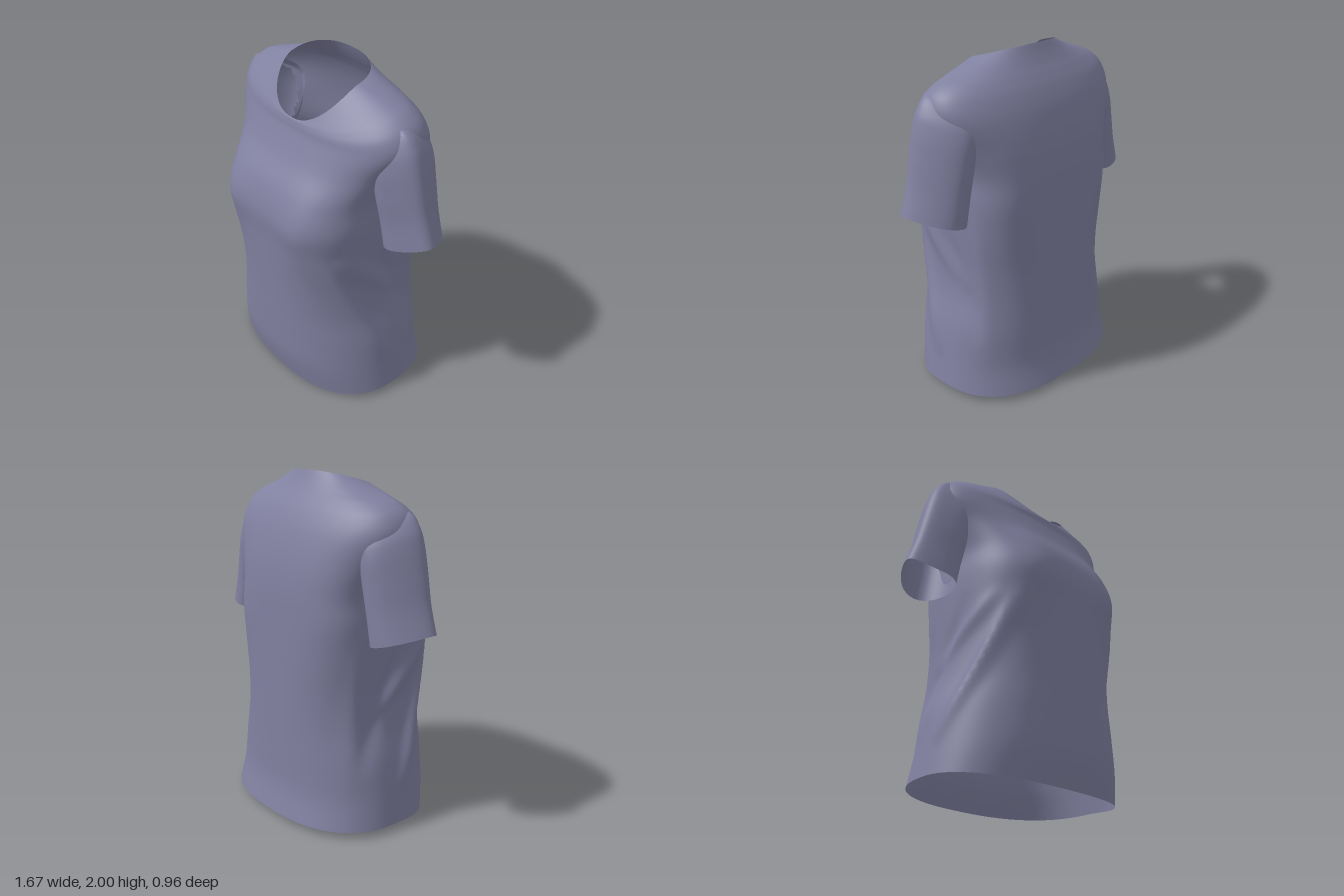
import * as THREE from 'three';

const SEG = 112, SUB = 7;

// Smoothly interpolate rows of ring values
function smoothRows(rows) {
  const out = [];
  const at = (i) => rows[Math.max(0, Math.min(rows.length - 1, i))];
  for (let i = 0; i < rows.length - 1; i++) {
    for (let k = 0; k < SUB; k++) {
      const t = k / SUB;
      out.push(rows[i].map((_, c) => {
        const [a, b, d, e] = [at(i - 1)[c], at(i)[c], at(i + 1)[c], at(i + 2)[c]];
        return b + 0.5 * t * (d - a + t * (2 * a - 5 * b + 4 * d - e + t * (3 * (b - d) + e - a)));
      }));
    }
  }
  out.push(rows[rows.length - 1]);
  return out;
}

// Closed rings joined into an open tube; faces with all corners hidden are left out
function loft(rings, point, hidden) {
  const pos = [], index = [], inside = [];
  rings.forEach((row) => {
    for (let j = 0; j < SEG; j++) {
      const p = point(row, (j / SEG) * Math.PI * 2);
      pos.push(...p);
      inside.push(hidden(...p));
    }
  });
  const face = (...ids) => ids.every((i) => inside[i]) || index.push(...ids);
  for (let i = 0; i < rings.length - 1; i++) {
    for (let j = 0; j < SEG; j++) {
      const a = i * SEG + j, b = i * SEG + (j + 1) % SEG;
      face(a, a + SEG, b);
      face(b, a + SEG, b + SEG);
    }
  }
  const g = new THREE.BufferGeometry();
  g.setAttribute('position', new THREE.Float32BufferAttribute(pos, 3));
  g.setIndex(index);
  g.computeVertexNormals();
  return g;
}

// Cloth folds on the flanks: start z,y, end z,y, height, width
const folds = [
  [0.44, 1.1, 0.0, 0.2, 0.034, 0.045],
  [0.32, 1.05, -0.15, 0.65, 0.02, 0.045],
  [0.1, 1.1, -0.25, 0.35, -0.018, 0.05],
  [-0.2, 1.2, -0.3, 0.2, 0.012, 0.045],
];
function foldHeight(z, y) {
  let h = 0;
  for (const [z0, y0, z1, y1, amp, width] of folds) {
    const dz = z1 - z0, dy = y1 - y0, len2 = dz * dz + dy * dy;
    const t = Math.max(0, Math.min(1, ((z - z0) * dz + (y - y0) * dy) / len2));
    const d = Math.hypot(z - z0 - t * dz, y - y0 - t * dy) / width;
    h += amp * 4 * t * (1 - t) * Math.exp(-d * d);
  }
  return h;
}

// Torso rings: half width, side z, side y, front z, front y, back z, back y, squareness
const torsoRings = smoothRows([
  [0.625, -0.02, 0.045, 0.40, 0.0, -0.485, 0.035, 2.45],
  [0.602, -0.02, 0.20, 0.437, 0.18, -0.447, 0.2, 2.4],
  [0.57, -0.02, 0.40, 0.447, 0.38, -0.437, 0.4, 2.4],
  [0.52, -0.02, 0.60, 0.452, 0.59, -0.432, 0.6, 2.5],
  [0.50, -0.02, 0.80, 0.458, 0.8, -0.427, 0.8, 2.7],
  [0.503, -0.02, 1.02, 0.466, 1.02, -0.422, 1.02, 3.1],
  [0.507, -0.02, 1.20, 0.472, 1.2, -0.418, 1.2, 3.4],
  [0.507, -0.03, 1.36, 0.427, 1.36, -0.412, 1.36, 3.2],
  [0.565, -0.04, 1.52, 0.337, 1.51, -0.392, 1.52, 2.8],
  [0.645, -0.04, 1.68, 0.276, 1.64, -0.35, 1.68, 2.45],
  [0.63, -0.035, 1.785, 0.262, 1.69, -0.305, 1.785, 2.3],
  [0.56, -0.03, 1.852, 0.258, 1.705, -0.265, 1.85, 2.2],
  [0.46, -0.02, 1.89, 0.256, 1.712, -0.23, 1.9, 2.2],
  [0.36, -0.005, 1.92, 0.253, 1.717, -0.2, 1.95, 2.2],
  [0.275, 0.01, 1.945, 0.25, 1.72, -0.175, 2.0, 2.25],
]);
const ringHeight = ([, , ys, , yf, , yb], k, front) =>
  front ? ys + (yf - ys) * k ** 1.5 : ys + (yb - ys) * k;

function torsoPoint(row, a) {
  const [w, zs, , zf, , zb, , n] = row;
  const c = Math.cos(a), s = Math.sin(a);
  const r = (Math.abs(c) ** n + Math.abs(s) ** n) ** (-1 / n);
  const k = Math.min(1, Math.abs(r * s));
  const z = zs + k * ((s > 0 ? zf : zb) - zs);
  const y = ringHeight(row, k, s > 0);
  const x = w * r * c;
  // Bust swells on both sides of a shallow hollow
  const bust = s > 0 ? 0.022 * Math.exp(-(((Math.abs(x) - 0.3) / 0.13) ** 2) - ((y - 1.2) / 0.2) ** 2) : 0;
  return [x + Math.sign(c) * Math.min(1, Math.abs(c) * 1.3) * foldHeight(z, y), y, z + bust];
}

// True where a point lies inside the torso, judged by the ring nearest in height
function inTorso(x, y, z) {
  let best = 1, reach = 2;
  for (const row of torsoRings) {
    const [w, zs, , zf, , zb, , n] = row;
    const u = Math.abs(x) / w, v = Math.abs((z - zs) / ((z > zs ? zf : zb) - zs));
    const size = (u ** n + v ** n) ** (1 / n);
    const gap = Math.abs(y - ringHeight(row, Math.min(1, v / size), z > zs));
    if (gap < best) [best, reach] = [gap, size];
  }
  return reach < 0.95;
}

// Sleeve rings from cuff to shoulder: outer x,y, inner x,y, middle z, half depth
const sleeveRings = smoothRows([
  [0.837, 1.20, 0.52, 1.115, -0.068, 0.165],
  [0.787, 1.35, 0.495, 1.265, -0.065, 0.168],
  [0.752, 1.50, 0.47, 1.40, -0.06, 0.177],
  [0.718, 1.64, 0.44, 1.55, -0.057, 0.182],
  [0.685, 1.73, 0.40, 1.65, -0.053, 0.17],
  [0.622, 1.803, 0.36, 1.70, -0.045, 0.13],
  [0.50, 1.835, 0.33, 1.74, -0.03, 0.06],
]);
const outerShift = (c) => 0.05 * Math.max(0, c) ** 2;

// The section narrows to an outer fold that sits a little towards the front
const sleevePoint = (side) => ([ox, oy, ix, iy, zc, zh], a) => {
  const c = Math.cos(a), s = Math.sin(a);
  const z = zc + zh * s * side * (1 - 0.35 * c) + outerShift(c);
  const y = (oy + iy) / 2 + c * (oy - iy) / 2 - 0.015 * s * s;
  return [side * ((ox + ix) / 2 + c * (ox - ix) / 2), y, z];
};

// True where a point lies inside a sleeve, judged by the ring plane nearest to it
function inSleeve(x, y, z) {
  let best = 0.03, reach = 2;
  for (const [ox, oy, ix, iy, zc, zh] of sleeveRings) {
    const c = (Math.abs(x) - (ox + ix) / 2) / ((ox - ix) / 2);
    const gap = Math.abs(y - (oy + iy) / 2 - c * (oy - iy) / 2);
    const s = (z - zc - outerShift(c)) / (zh * (1 - 0.35 * c));
    if (gap < best) [best, reach] = [gap, Math.hypot(c, s)];
  }
  return reach < 0.92;
}

export function createModel() {
  const group = new THREE.Group();
  group.name = 'tShirt';
  const cloth = new THREE.MeshStandardMaterial({ color: 0x8080a0, side: THREE.DoubleSide });
  cloth.name = 'greyLavenderCloth';

  const add = (name, geometry) => {
    const mesh = new THREE.Mesh(geometry, cloth);
    mesh.name = name;
    group.add(mesh);
  };
  // Armholes open the torso into the sleeves
  add('torso', loft(torsoRings, torsoPoint, inSleeve));
  add('leftSleeve', loft(sleeveRings, sleevePoint(1), inTorso));
  add('rightSleeve', loft(sleeveRings, sleevePoint(-1), inTorso));
  return group;
}
